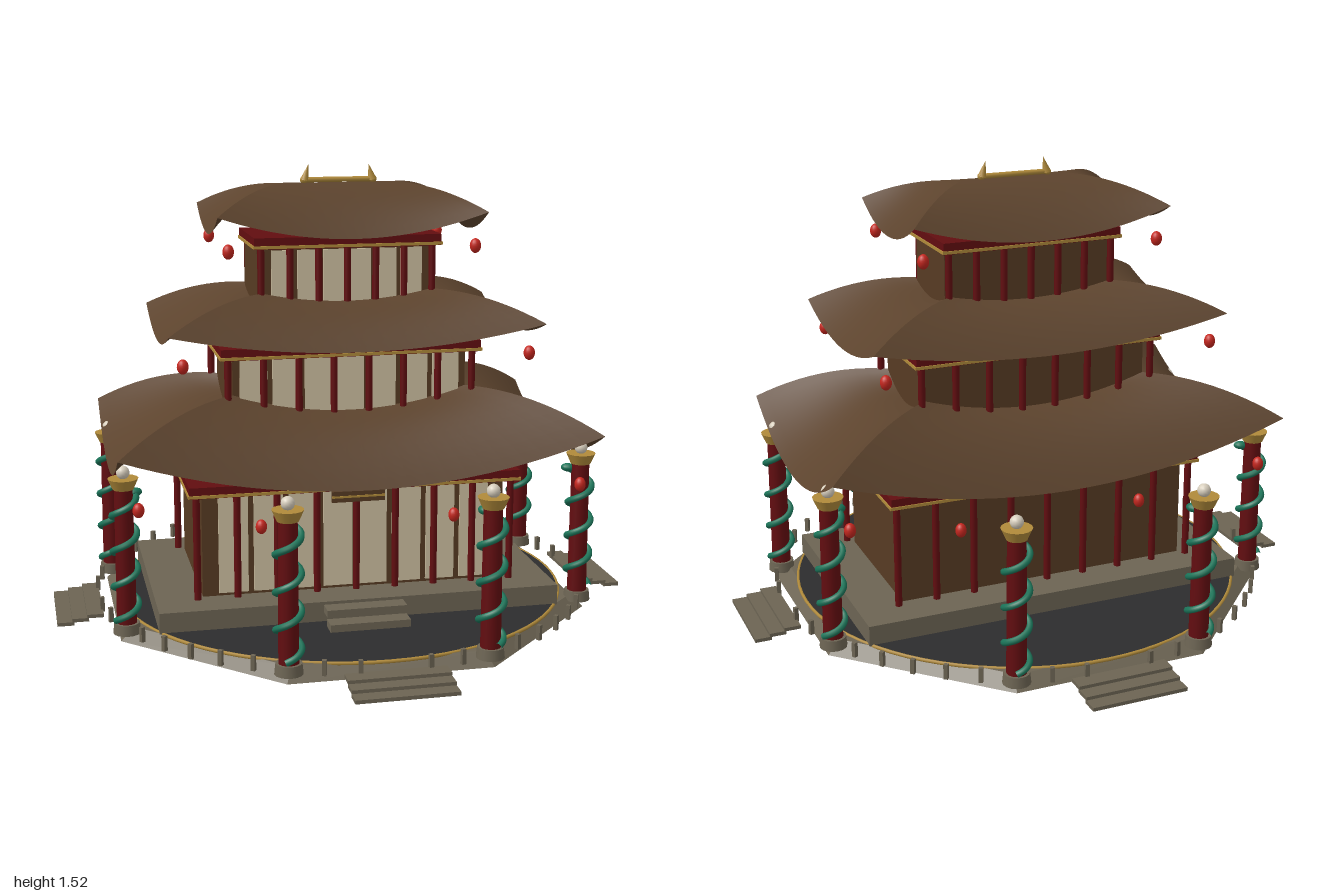
import * as THREE from 'three';

const mat = (name, color, side = THREE.FrontSide) => {
  const m = new THREE.MeshStandardMaterial({ color, side });
  m.name = name;
  return m;
};

export function createModel() {
  const M = {
    roof: mat('roofBrown', 0x5c432d, THREE.DoubleSide),
    wall: mat('wallBrown', 0x573b23),
    red: mat('columnRed', 0x620d10),
    cream: mat('panelCream', 0xcfc1a2),
    stone: mat('stone', 0x6c6453),
    floor: mat('darkFloor', 0x2c2c2d),
    gold: mat('gold', 0xb08a3a),
    green: mat('serpentGreen', 0x1b7358),
    lantern: mat('lanternRed', 0xc4261e),
    pearl: mat('pearl', 0xd6cdbc),
  };
  const root = new THREE.Group();
  root.name = 'pagoda';
  const add = (name, geo, m, x = 0, y = 0, z = 0, parent = root) => {
    const mesh = new THREE.Mesh(geo, m);
    mesh.name = name;
    mesh.position.set(x, y, z);
    parent.add(mesh);
    return mesh;
  };
  // Box given by half widths and its bottom and top heights
  const slab = (name, hx, y0, y1, hz, m, x = 0, z = 0, parent = root) =>
    add(name, new THREE.BoxGeometry(hx * 2, y1 - y0, hz * 2), m, x, (y0 + y1) / 2, z, parent);
  const group = (name, parent = root) => {
    const g = new THREE.Group();
    g.name = name;
    parent.add(g);
    return g;
  };

  // Octagonal terrace with a round dark floor and gold rim
  const terrace = new THREE.CylinderGeometry(0.818, 0.866, 0.04, 8).toNonIndexed();
  terrace.rotateY(Math.PI / 8);
  terrace.computeVertexNormals();
  add('terrace', terrace, M.stone, 0, 0.02, 0);
  add('courtyardFloor', new THREE.CylinderGeometry(0.776, 0.776, 0.008, 64), M.floor, 0, 0.039, 0);
  const rim = new THREE.TorusGeometry(0.778, 0.006, 6, 80);
  rim.rotateX(Math.PI / 2);
  add('courtyardRim', rim, M.gold, 0, 0.039, 0);

  // Rail posts around the terrace, leaving room for pillars and stairs
  const postGeo = new THREE.BoxGeometry(0.014, 0.05, 0.014);
  for (let i = 0; i < 48; i++) {
    if (i % 12 === 0 || i % 6 === 3) continue;
    const a = (i * Math.PI) / 24;
    add('railPost', postGeo, M.stone, 0.853 * Math.sin(a), 0.055, 0.853 * Math.cos(a)).rotation.y = a;
  }

  // Outer stairs on four sides
  for (let s = 0; s < 4; s++) {
    const stairs = group('outerStairs');
    stairs.rotation.y = (s * Math.PI) / 2;
    for (let i = 0; i < 3; i++)
      slab('step', 0.163, 0.004 + i * 0.011, 0.016 + i * 0.011, 0.028, M.stone, 0, 0.972 - i * 0.05, stairs);
  }

  // Podium and front steps
  slab('podium', 0.68, 0.04, 0.11, 0.4, M.stone);
  slab('podiumStep', 0.135, 0.075, 0.1, 0.03, M.stone, 0, 0.43);
  slab('podiumStep', 0.135, 0.04, 0.068, 0.03, M.stone, 0, 0.48);

  // Curved hipped roof: four faces whose edges sweep up towards the corners
  const roof = (name, [ex, ez], [ix, iz], yEave, eaveRise, yTop, topRise) => {
    const g = group(name);
    const NU = 24, NT = 12;
    for (let s = 0; s < 4; s++) {
      const pos = [], idx = [];
      for (let j = 0; j <= NT; j++) {
        for (let i = 0; i <= NU; i++) {
          const t = j / NT, u = (i / NU) * 2 - 1, k = (1 - t) ** 2;
          const hx = ex + (ix - ex) * t, hz = ez + (iz - ez) * t;
          const y = yTop + (yEave - yTop) * k + (topRise + (eaveRise - topRise) * k) * u * u;
          const f = s < 2 ? 1 : -1;
          if (s % 2 === 0) pos.push(f * u * hx, y, f * hz);
          else pos.push(f * hx, y, -f * u * hz);
          if (i < NU && j < NT) {
            const a = j * (NU + 1) + i, c = a + NU + 1;
            idx.push(a, a + 1, c, a + 1, c + 1, c);
          }
        }
      }
      const geo = new THREE.BufferGeometry();
      geo.setAttribute('position', new THREE.Float32BufferAttribute(pos, 3));
      geo.setIndex(idx);
      geo.computeVertexNormals();
      add('roofFace', geo, M.roof, 0, 0, 0, g);
    }
  };
  roof('lowerRoof', [0.805, 0.472], [0.4, 0.19], 0.505, 0.138, 0.712, 0.066);
  roof('middleRoof', [0.628, 0.366], [0.29, 0.14], 0.94, 0.07, 1.075, 0.033);
  roof('upperRoof', [0.452, 0.266], [0.19, 0], 1.297, 0.078, 1.46, 0);

  // Lanterns
  const lanternGeo = new THREE.SphereGeometry(0.019, 16, 12);
  lanternGeo.scale(1, 1.3, 1);
  const lanterns = (x, y, z) => {
    for (const sx of [-1, 1]) for (const sz of [-1, 1]) add('lantern', lanternGeo, M.lantern, sx * x, y, sz * z);
  };
  lanterns(0.74, 0.47, 0.425);
  lanterns(0.33, 0.36, 0.325);
  lanterns(0.58, 0.91, 0.335);
  lanterns(0.415, 1.262, 0.24);

  // Storeys: walls, front panels, columns and beams
  const storeys = [
    { w: 0.565, d: 0.312, y0: 0.11, y1: 0.5, n: 9, wx: 0.52, wz: 0.265, px: 0.475 },
    { w: 0.443, d: 0.235, y0: 0.68, y1: 0.94, n: 8, wx: 0.4, wz: 0.19, px: 0.385 },
    { w: 0.318, d: 0.166, y0: 1.05, y1: 1.295, n: 7, wx: 0.305, wz: 0.135, px: 0.265 },
  ];
  for (const { w, d, y0, y1, n, wx, wz, px } of storeys) {
    const g = group('storey');
    slab('walls', wx, y0, y1 - 0.01, wz, M.wall, 0, 0, g);
    slab('beam', w, y1 - 0.038, y1, d, M.red, 0, 0, g);
    slab('beamTrim', w + 0.004, y1 - 0.036, y1 - 0.026, d + 0.004, M.gold, 0, 0, g);
    const colGeo = new THREE.CylinderGeometry(0.012, 0.012, y1 - y0 - 0.03, 12);
    for (let i = 0; i < n; i++) {
      const x = (w - 0.025) * ((2 * i) / (n - 1) - 1);
      for (const s of [-1, 1]) add('column', colGeo, M.red, x, (y0 + y1 - 0.03) / 2, s * (d - 0.024), g);
    }
    const pw = (2 * px) / (n - 1);
    for (let i = 0; i < n - 1; i++)
      slab('panel', pw * 0.42, y0 + 0.01, y1 - 0.045, 0.003, M.cream, -px + pw * (i + 0.5), wz + 0.003, g);
  }

  // Plain board over the entrance
  slab('entranceBoard', 0.09, 0.425, 0.462, 0.006, M.wall, 0, 0.315);
  slab('entranceBoardTrim', 0.09, 0.44, 0.447, 0.004, M.gold, 0, 0.319);

  // Ridge ornament with two finials
  const bar = new THREE.CylinderGeometry(0.009, 0.009, 0.24, 12);
  bar.rotateZ(Math.PI / 2);
  add('ridgeBar', bar, M.gold, 0, 1.47, 0);
  for (const s of [-1, 1]) {
    add('ridgeFinial', new THREE.ConeGeometry(0.015, 0.055, 10), M.gold, s * 0.111, 1.495, 0).rotation.z = s * 0.25;
    add('ridgeKnob', new THREE.SphereGeometry(0.013, 10, 8), M.gold, s * 0.12, 1.47, 0);
  }

  // Eight pillars, each wound by a serpent and topped by a pearl
  const coil = [];
  for (let i = 0; i <= 56; i++) {
    const a = (i / 56) * Math.PI * 7;
    coil.push(new THREE.Vector3(0.04 * Math.sin(a), 0.075 + (0.42 * i) / 56, 0.04 * Math.cos(a)));
  }
  const coilGeo = new THREE.TubeGeometry(new THREE.CatmullRomCurve3(coil), 120, 0.011, 8);
  const headGeo = new THREE.SphereGeometry(0.018, 12, 8);
  headGeo.scale(1, 0.8, 1.3);
  for (let i = 0; i < 8; i++) {
    const a = ((i + 0.5) * Math.PI) / 4;
    const p = group('serpentPillar');
    p.position.set(0.843 * Math.sin(a), 0, 0.843 * Math.cos(a));
    p.rotation.y = a;
    add('pillarBase', new THREE.CylinderGeometry(0.042, 0.046, 0.035, 16), M.stone, 0, 0.045, 0, p);
    add('pillarShaft', new THREE.CylinderGeometry(0.03, 0.033, 0.47, 16), M.red, 0, 0.29, 0, p);
    add('pillarCapital', new THREE.CylinderGeometry(0.05, 0.034, 0.036, 16), M.gold, 0, 0.533, 0, p);
    add('pearl', new THREE.SphereGeometry(0.022, 14, 10), M.pearl, 0, 0.57, 0, p);
    add('serpentBody', coilGeo, M.green, 0, 0, 0, p);
    add('serpentHead', headGeo, M.green, 0, 0.498, -0.043, p);
  }
  return root;
}
